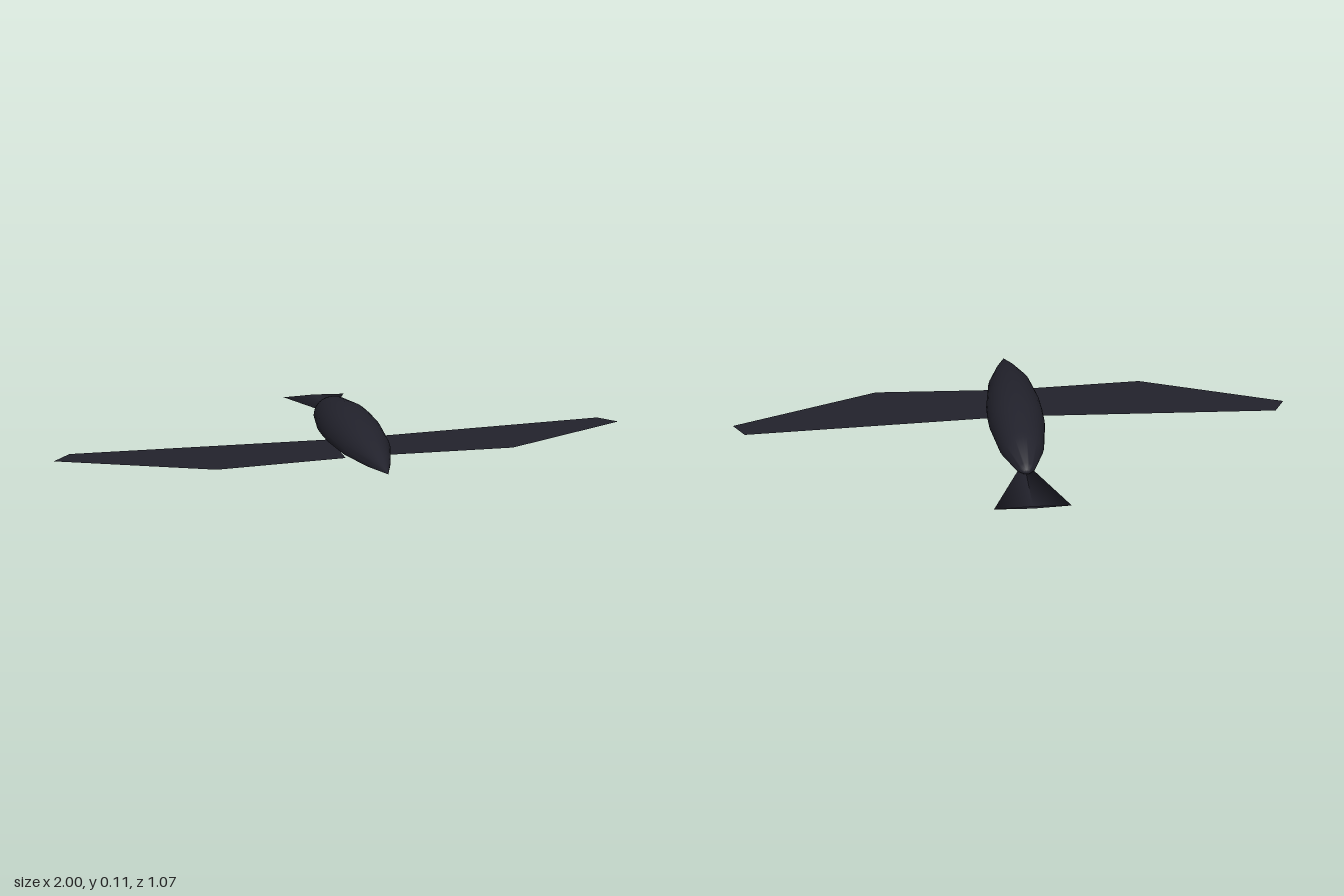
import * as THREE from 'three';
import { toCreasedNormals } from 'three/addons/utils/BufferGeometryUtils.js';

export function createModel() {
  const model = new THREE.Group();
  model.name = 'glidingBird';
  const plumage = new THREE.MeshStandardMaterial({ color: 0x22222c });
  plumage.name = 'darkPlumage';
  const thinPlumage = plumage.clone();
  thinPlumage.side = THREE.DoubleSide;

  const add = (name, geometry, material) => {
    const mesh = new THREE.Mesh(geometry, material);
    mesh.name = name;
    model.add(mesh);
    return mesh;
  };

  // Body: a turned spindle along z, flattened underneath
  const profile = [
    [0, -0.345], [0.01, -0.343], [0.028, -0.325], [0.068, -0.22], [0.075, -0.195],
    [0.098, -0.03], [0.1, 0.05], [0.098, 0.13], [0.08, 0.285], [0.038, 0.43], [0, 0.535],
  ].map(([r, z]) => new THREE.Vector2(r, z));
  const body = new THREE.LatheGeometry(profile, 32);
  body.rotateX(Math.PI / 2);
  body.scale(1, 0.93, 1);
  const pos = body.attributes.position;
  for (let i = 0; i < pos.count; i++) pos.setY(i, Math.max(pos.getY(i), -0.005) + 0.015);
  add('body', toCreasedNormals(body, Math.PI / 5), plumage);

  // Wings: flat swept sheets, mirrored
  for (const side of [1, -1]) {
    const outline = [[0.075, 0.293], [0.5, 0.315], [1, 0.1], [0.95, 0.03], [0.075, 0.072]]
      .map(([x, z]) => new THREE.Vector2(side * x, -z));
    const wing = new THREE.ShapeGeometry(new THREE.Shape(outline));
    wing.rotateX(-Math.PI / 2);
    add(side > 0 ? 'leftWing' : 'rightWing', wing, thinPlumage);
  }

  // Tail: a flattened four-sided cone, fanning out to the rear
  const tail = new THREE.ConeGeometry(0.122, 0.285, 4);
  tail.rotateX(Math.PI / 2);
  tail.scale(1, 0.033, 1);
  add('tail', tail, plumage).position.set(0, 0.004, -0.3925);

  return model;
}
